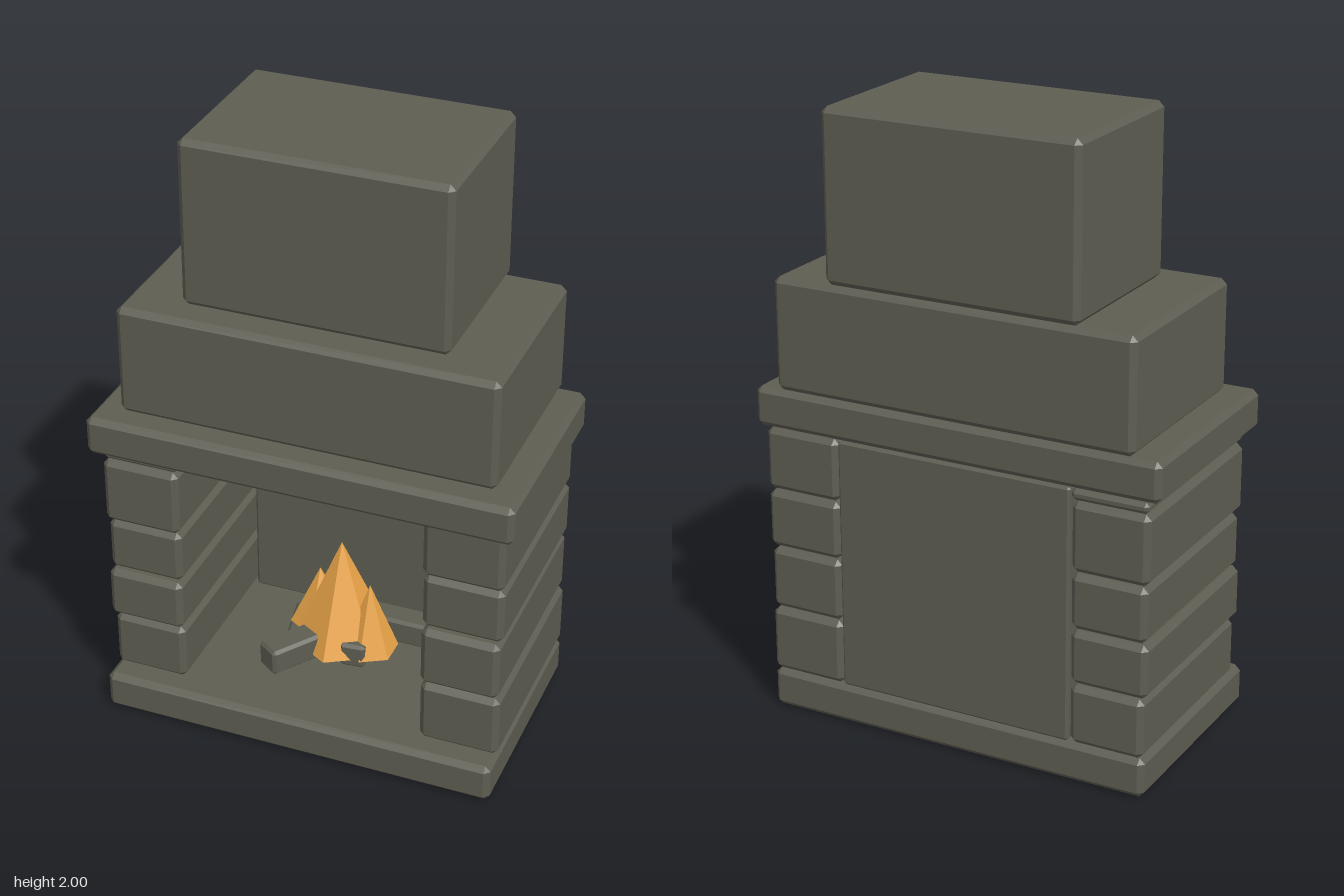
import * as THREE from 'three';
import { ConvexGeometry } from 'three/addons/geometries/ConvexGeometry.js';

// Box with flat chamfered edges, centred on the origin
function chamferBox(w, h, d, c) {
  const pts = [];
  for (const sx of [-1, 1]) for (const sy of [-1, 1]) for (const sz of [-1, 1]) {
    const x = w / 2, y = h / 2, z = d / 2;
    pts.push(
      new THREE.Vector3(sx * x, sy * (y - c), sz * (z - c)),
      new THREE.Vector3(sx * (x - c), sy * y, sz * (z - c)),
      new THREE.Vector3(sx * (x - c), sy * (y - c), sz * z));
  }
  return new ConvexGeometry(pts);
}

export function createModel() {
  const group = new THREE.Group();
  const stone = new THREE.MeshStandardMaterial({ color: 0x5e5d52, flatShading: true });
  stone.name = 'stone';
  const fire = new THREE.MeshStandardMaterial({ color: 0xe8a348, flatShading: true });
  fire.name = 'flame';

  const add = (name, geometry, material) => {
    const mesh = new THREE.Mesh(geometry, material);
    mesh.name = name;
    group.add(mesh);
    return mesh;
  };
  // Stone block given by its extents
  const block = (name, x0, x1, y0, y1, z0, z1, c = 0.018) =>
    add(name, chamferBox(x1 - x0, y1 - y0, z1 - z0, c), stone)
      .position.set((x0 + x1) / 2, (y0 + y1) / 2, (z0 + z1) / 2);

  // Hearth, mantel and stepped chimney
  block('hearth', -0.66, 0.655, 0, 0.13, -0.375, 0.375);
  block('mantel', -0.695, 0.69, 0.96, 1.09, -0.375, 0.355);
  block('lowerChimney', -0.61, 0.61, 1.09, 1.455, -0.375, 0.28);
  block('upperChimney', -0.43, 0.425, 1.455, 2, -0.375, 0.19);
  block('backWall', -0.405, 0.395, 0.13, 0.96, -0.37, -0.27, 0.008);

  // Stacked side stones: [bottom, top, outer x, front z]
  [[0.13, 0.345, 0.655, 0.305], [0.35, 0.555, 0.65, 0.31],
    [0.56, 0.75, 0.655, 0.3], [0.755, 0.96, 0.655, 0.31]]
    .forEach(([y0, y1, x, z], i) => block('leftStone' + i, 0.395, x, y0, y1, -0.375, z));
  [[0.13, 0.325, 0.655, 0.305], [0.33, 0.505, 0.665, 0.315], [0.51, 0.69, 0.66, 0.305],
    [0.695, 0.92, 0.665, 0.315], [0.925, 0.96, 0.66, 0.31]]
    .forEach(([y0, y1, x, z], i) =>
      block('rightStone' + i, -x, -0.41, y0, y1, -0.375, z, Math.min(0.018, (y1 - y0) / 3)));

  // Logs: [x, y, z, width, height, length, turn]
  [[-0.09, 0.205, 0.08, 0.09, 0.09, 0.28, -0.6],
    [0.08, 0.18, -0.17, 0.09, 0.09, 0.52, Math.PI / 2],
    [0.07, 0.2, -0.03, 0.085, 0.085, 0.22, 0.1],
    [-0.15, 0.155, -0.08, 0.09, 0.05, 0.2, 0.2]]
    .forEach(([x, y, z, w, h, l, turn], i) => {
      const log = add('log' + i, chamferBox(w, h, l, 0.01), stone);
      log.position.set(x, y, z);
      log.rotation.y = turn;
    });

  // Flames: [x, tip y, z, radius]
  [[0, 0.555, -0.04, 0.165], [0.108, 0.43, -0.015, 0.095], [-0.1, 0.39, -0.1, 0.1]]
    .forEach(([x, tip, z, r], i) => {
      const base = 0.185;
      add('flame' + i, new THREE.ConeGeometry(r, tip - base, 6), fire)
        .position.set(x, (tip + base) / 2, z);
    });

  return group;
}
